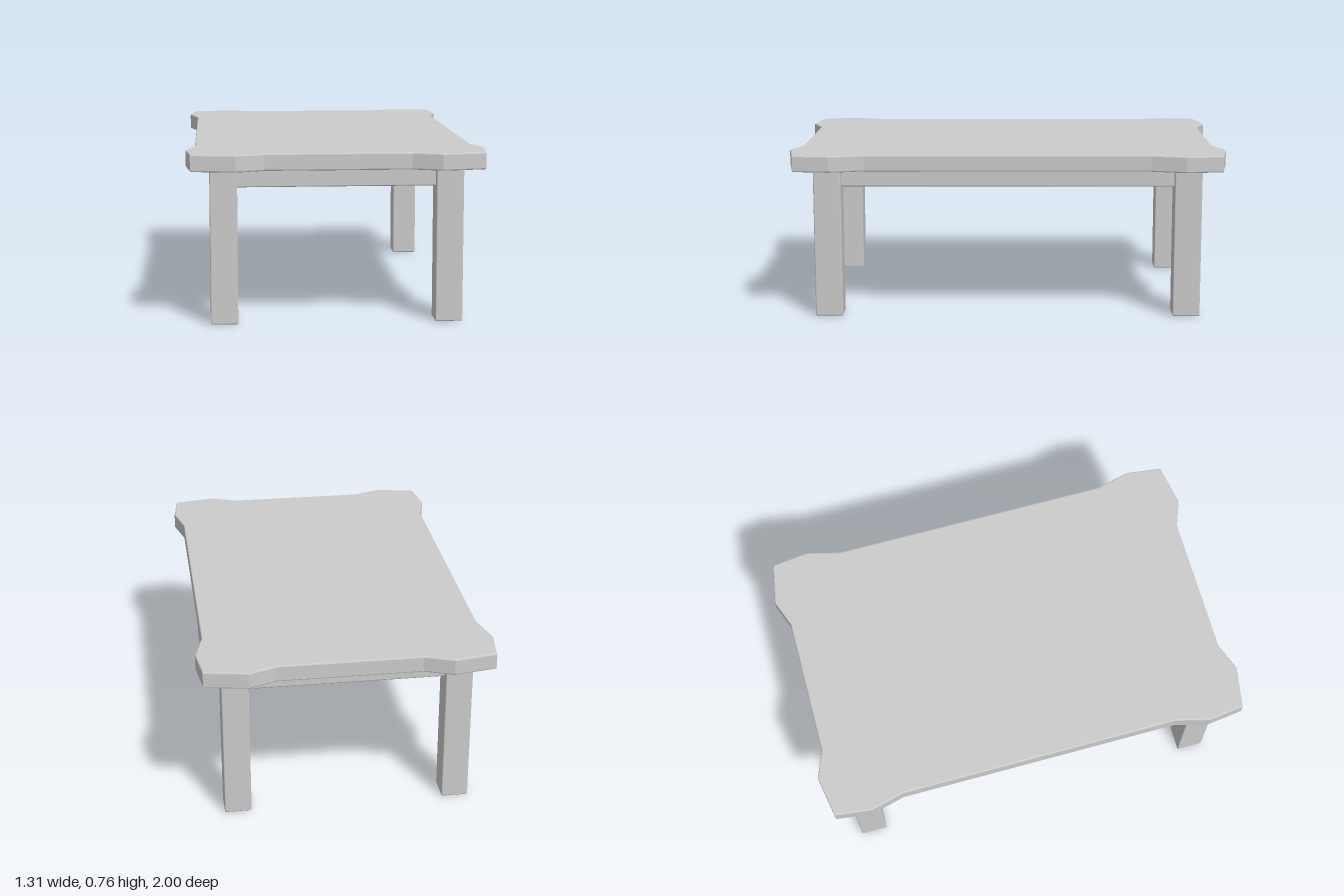
import * as THREE from 'three';
import { RoundedBoxGeometry } from 'three/addons/geometries/RoundedBoxGeometry.js';

const material = new THREE.MeshStandardMaterial({ color: 0xcccccc });

const LEG = { x: 0.494, z: 0.822, w: 0.12, d: 0.125, h: 0.69 };
const TOP = { bottom: 0.685, height: 0.075 };

function addBox(parent, name, [w, h, d], [x, y, z]) {
  const mesh = new THREE.Mesh(new RoundedBoxGeometry(w, h, d, 2, 0.006), material);
  mesh.name = name;
  mesh.position.set(x, y, z);
  parent.add(mesh);
}

// Slab with flared corners: one quarter of the outline, mirrored four ways
function createTabletop() {
  const quarter = [[0.617, 0.645], [0.656, 0.8], [0.635, 0.967], [0.444, 1], [0.318, 0.952]];
  const reversed = [...quarter].reverse();
  const outline = [
    ...quarter,
    ...reversed.map(([x, z]) => [-x, z]),
    ...quarter.map(([x, z]) => [-x, -z]),
    ...reversed.map(([x, z]) => [x, -z]),
  ].map(([x, z]) => new THREE.Vector2(x, z));

  const bevel = 0.006;
  const geometry = new THREE.ExtrudeGeometry(new THREE.Shape(outline), {
    depth: TOP.height - 2 * bevel,
    bevelThickness: bevel,
    bevelSize: bevel,
    bevelOffset: -bevel,
    bevelSegments: 2,
  });
  geometry.rotateX(-Math.PI / 2);
  geometry.translate(0, TOP.bottom + bevel, 0);
  const mesh = new THREE.Mesh(geometry, material);
  mesh.name = 'tabletop';
  return mesh;
}

export function createModel() {
  const table = new THREE.Group();
  table.name = 'table';
  table.add(createTabletop());

  // Square legs
  for (const [sideName, sx] of [['Left', 1], ['Right', -1]]) {
    for (const [endName, sz] of [['front', 1], ['back', -1]]) {
      addBox(table, `${endName}${sideName}Leg`, [LEG.w, LEG.h, LEG.d], [sx * LEG.x, LEG.h / 2, sz * LEG.z]);
    }
  }

  // Apron rails set between the legs, slightly inside their outer faces
  const railHeight = 0.09, railY = 0.6 + railHeight / 2, thickness = 0.07;
  for (const [name, s] of [['left', 1], ['right', -1]]) {
    addBox(table, `${name}Apron`, [thickness, railHeight, 2 * LEG.z - 0.08], [s * 0.485, railY, 0]);
  }
  for (const [name, s] of [['front', 1], ['back', -1]]) {
    addBox(table, `${name}Apron`, [2 * LEG.x - 0.08, railHeight, thickness], [0, railY, s * 0.812]);
  }
  return table;
}
